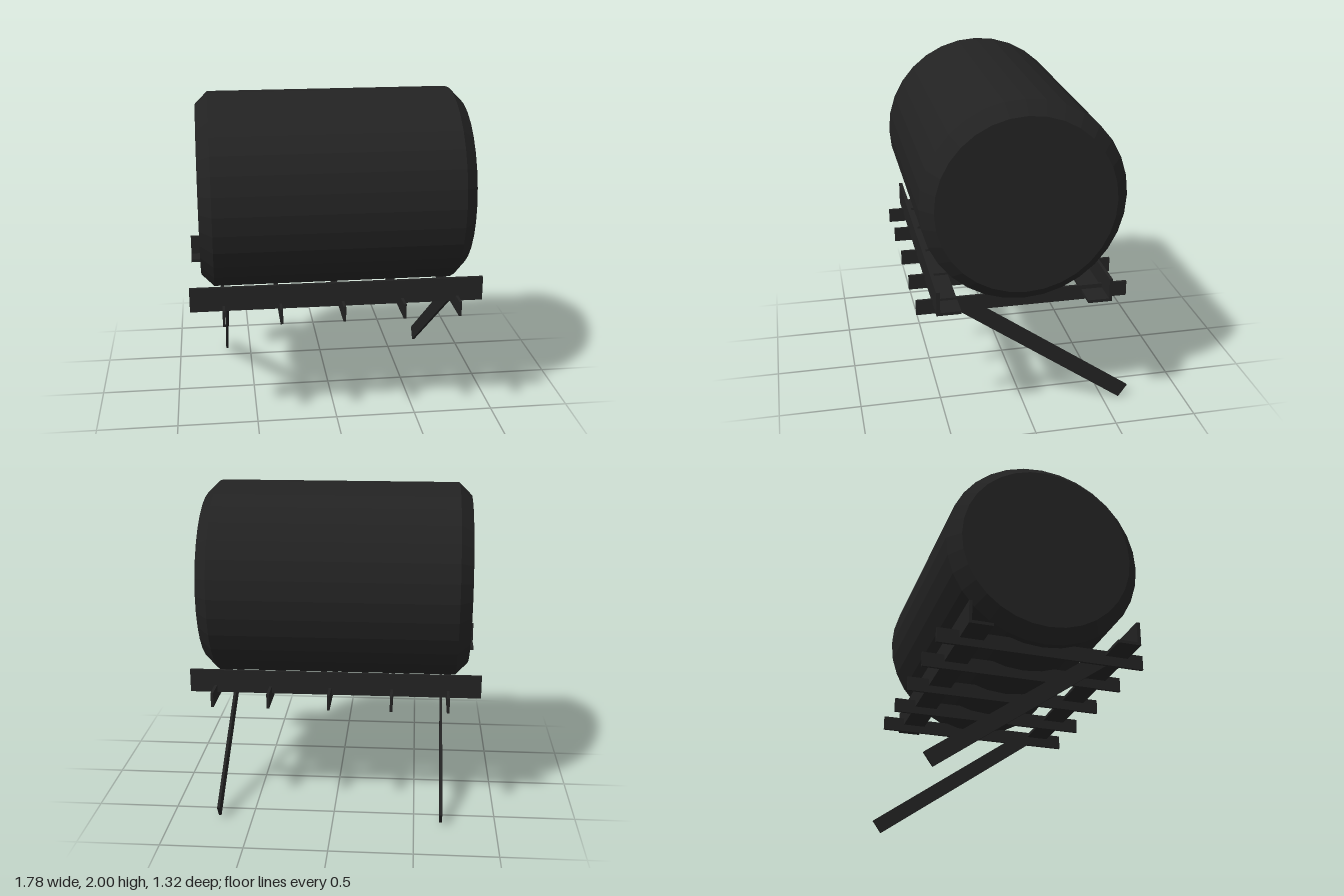
import * as THREE from 'three';

export function createModel() {
  const model = new THREE.Group();
  const black = new THREE.MeshStandardMaterial({ color: 0x222222 });
  black.name = 'black';
  black.flatShading = true;

  const add = (name, geometry, x, y, z) => {
    const mesh = new THREE.Mesh(geometry, black);
    mesh.name = name;
    mesh.position.set(x, y, z);
    model.add(mesh);
    return mesh;
  };
  // box given by its limits on each axis
  const box = (name, x0, x1, y0, y1, z0, z1) =>
    add(name, new THREE.BoxGeometry(x1 - x0, y1 - y0, z1 - z0),
      (x0 + x1) / 2, (y0 + y1) / 2, (z0 + z1) / 2);

  // lying tank with chamfered ends
  const profile = [[0, -0.824], [0.531, -0.824], [0.607, -0.747],
    [0.607, 0.747], [0.531, 0.824], [0, 0.824]]
    .map(([r, h]) => new THREE.Vector2(r, h));
  const tank = add('tank', new THREE.LatheGeometry(profile, 32), 0.006, 1.393, 0.025);
  tank.rotation.z = -Math.PI / 2;

  // L-shaped rails along the front and back
  box('frontRailWeb', -0.89, 0.886, 0.79, 0.938, 0.542, 0.564);
  box('frontRailFlange', -0.89, 0.886, 0.79, 0.808, 0.42, 0.542);
  box('backRailWeb', -0.89, 0.886, 0.778, 0.92, -0.476, -0.458);
  box('backRailFlange', -0.89, 0.886, 0.778, 0.796, -0.458, -0.332);

  // cross slats under the tank
  for (const x of [-0.69, -0.35, 0.026, 0.391, 0.729])
    box('crossSlat', x - 0.008, x + 0.008, 0.73, 0.822, -0.612, 0.662);

  // slanted legs running down to the back
  const top = new THREE.Vector2(0.405, 0.775), foot = new THREE.Vector2(-0.63, 0.039);
  const length = top.distanceTo(foot);
  for (const x of [-0.666, 0.708]) {
    const leg = add('slantedLeg', new THREE.BoxGeometry(0.016, 0.094, length),
      x, (top.y + foot.y) / 2, (top.x + foot.x) / 2);
    leg.rotation.x = -Math.atan2(top.y - foot.y, top.x - foot.x);
  }
  return model;
}
